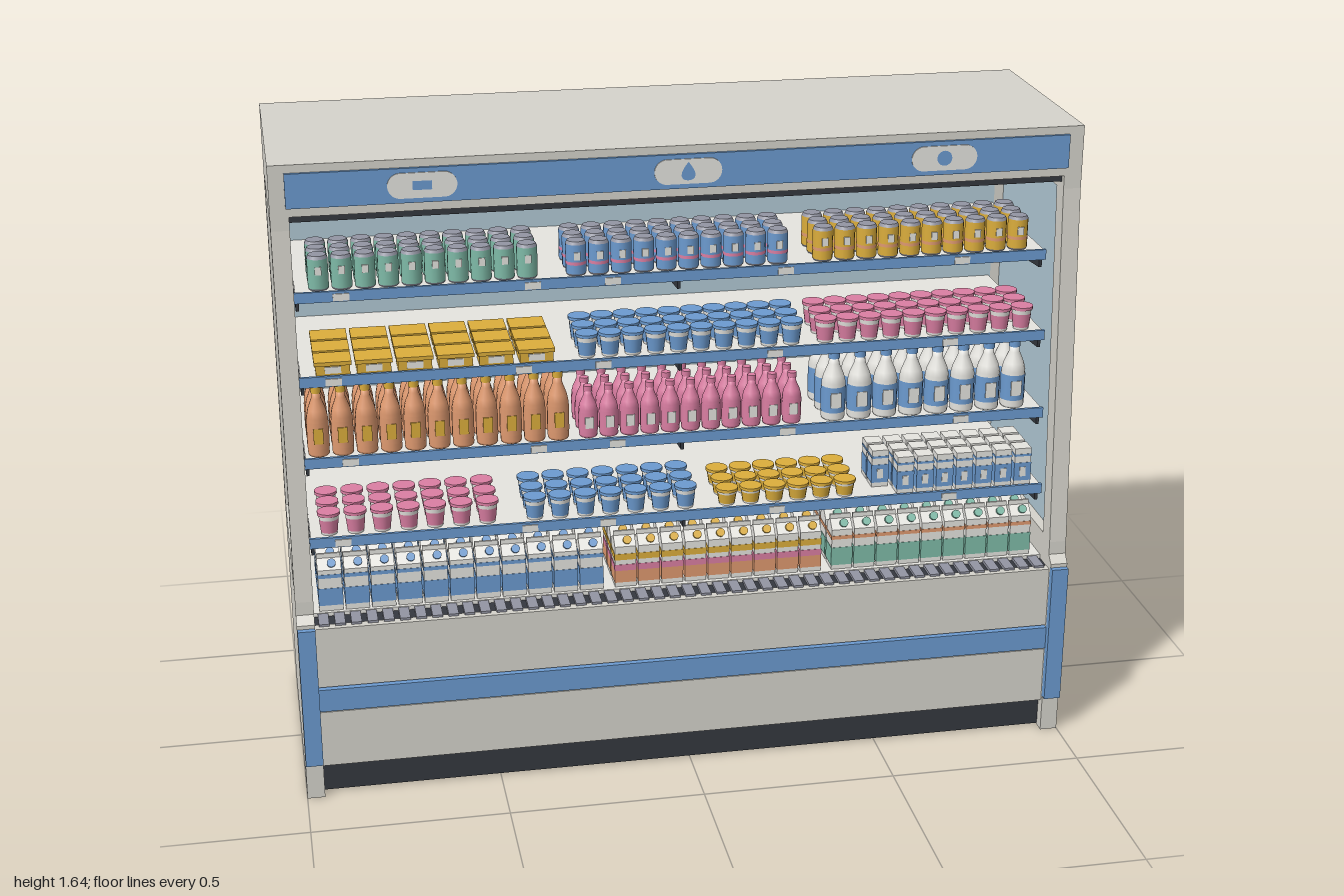
import * as THREE from 'three';
import { mergeGeometries } from 'three/addons/utils/BufferGeometryUtils.js';

const mat = (name, color, side = THREE.FrontSide) => {
  const m = new THREE.MeshStandardMaterial({ color, side });
  m.name = name;
  return m;
};

export function createModel() {
  const grey = mat('warm grey enamel', 0xd6d4cc);
  const blue = mat('blue trim', 0x6c9bd0);
  const dark = mat('dark plastic', 0x35383f);
  const pale = mat('pale blue panel', 0xb2cad6, THREE.DoubleSide);
  const white = mat('off white', 0xe6e5e0);
  const steel = mat('vent grey', 0x9395a3);
  const gold = mat('gold', 0xdcae3c);
  const orange = mat('orange', 0xdf9a70);
  const pink = mat('pink', 0xdb7fa3);
  const teal = mat('teal', 0x7fbba8);

  const model = new THREE.Group();
  model.name = 'refrigeratedDisplayCabinet';

  const add = (name, geo, material, parent = model) => {
    const m = new THREE.Mesh(geo, material);
    m.name = name;
    parent.add(m);
    return m;
  };
  // Box given by its limits on each axis
  const span = (x0, x1, y0, y1, z0, z1) =>
    new THREE.BoxGeometry(x1 - x0, y1 - y0, z1 - z0)
      .translate((x0 + x1) / 2, (y0 + y1) / 2, (z0 + z1) / 2);
  const v2 = (pts) => pts.map(([a, b]) => new THREE.Vector2(a, b));
  // Extrude a (z, y) outline along x, centred on x = 0
  const extrudeX = (pts, width, hole) => {
    const s = new THREE.Shape(v2(pts));
    if (hole) s.holes.push(new THREE.Path(v2(hole)));
    return new THREE.ExtrudeGeometry(s, { depth: width, bevelEnabled: false })
      .rotateY(-Math.PI / 2).translate(width / 2, 0, 0);
  };

  // Side frames with windows and blue bumpers
  const outline = [[-0.345, 0], [0.335, 0], [0.335, 0.49], [0.315, 0.51], [0.315, 0.545],
    [0.25, 1.485], [0.25, 1.645], [-0.345, 1.645]];
  const opening = [[0.262, 0.55], [0.2, 1.48], [-0.285, 1.48], [-0.285, 0.55]];
  for (const s of [-1, 1]) {
    const side = new THREE.Group();
    side.name = s > 0 ? 'leftSide' : 'rightSide';
    model.add(side);
    add('sideFrame', extrudeX(outline, 0.045, opening), grey, side).position.x = s * 0.9775;
    add('sideGlass', extrudeX(opening, 0.008), pale, side).position.x = s * 0.985;
    add('bumper', span(-0.022, 0.022, 0.1, 0.48, 0.33, 0.35), blue, side).position.x = s * 0.977;
  }

  // Cabinet body
  const W = 0.955;
  add('backWall', span(-W, W, 0, 1.645, -0.345, -0.29), grey);
  add('backLiner', span(-W, W, 0.47, 1.515, -0.29, -0.283), pale);
  add('canopy', span(-W, W, 1.518, 1.645, -0.3, 0.25), grey);
  add('airOutlet', span(-W, W, 1.5, 1.518, 0.08, 0.235), dark);
  add('baseBody', span(-W, W, 0.08, 0.47, -0.3, 0.31), dark);
  add('deck', span(-W, W, 0.47, 0.48, -0.29, 0.25), white);
  add('kickPlate', span(-W, W, 0.004, 0.08, -0.29, 0.305), dark);
  add('upperFrontPanel', span(-W, W, 0.309, 0.472, 0.3, 0.325), grey);
  add('lowerFrontPanel', span(-W, W, 0.085, 0.238, 0.3, 0.325), grey);
  add('frontStripe', span(-W, W, 0.243, 0.304, 0.3, 0.331), blue);

  // Air intake grille in front of the deck
  const bars = [];
  for (let i = 0; i < 47; i++) bars.push(span(-0.013, 0.013, 0.47, 0.478, 0.25, 0.312).translate((i - 23) * 0.0405, 0, 0));
  add('intakeGrille', mergeGeometries(bars), steel);

  // Header sign with three pictogram badges
  add('headerSign', span(-0.962, 0.962, 1.54, 1.625, 0.245, 0.258), blue);
  const pill = new THREE.Shape();
  pill.absarc(0.052, 0, 0.031, -Math.PI / 2, Math.PI / 2);
  pill.absarc(-0.052, 0, 0.031, Math.PI / 2, Math.PI * 1.5);
  const drop = new THREE.Shape();
  drop.moveTo(0, 0.024);
  drop.bezierCurveTo(0.03, -0.012, 0.014, -0.022, 0, -0.022);
  drop.bezierCurveTo(-0.014, -0.022, -0.03, -0.012, 0, 0.024);
  const icons = [new THREE.PlaneGeometry(0.046, 0.022), new THREE.ShapeGeometry(drop),
    new THREE.CircleGeometry(0.019, 20)];
  icons.forEach((icon, i) => {
    const x = (i - 1) * 0.64;
    add('badge', new THREE.ExtrudeGeometry(pill, { depth: 0.003, bevelEnabled: false }), white).position.set(x, 1.583, 0.258);
    add('badgeIcon', icon, blue).position.set(x, 1.583, 0.262);
  });

  // Rear ventilation plate
  add('ventPlate', span(-0.64, 0.64, 0.08, 0.215, -0.349, -0.34), steel);
  const slots = [];
  for (let i = 0; i < 12; i++) slots.push(span(-0.028, 0.028, 0.108, 0.188, -0.352, -0.345).translate((i - 5.5) * 0.098, 0, 0));
  add('ventSlots', mergeGeometries(slots), dark);

  // Shelves with rails, brackets and price tags
  const shelves = [[0.675, 0.235], [0.88, 0.21], [1.085, 0.185], [1.295, 0.16]];
  shelves.forEach(([y, z], k) => {
    const shelf = new THREE.Group();
    shelf.name = 'shelf' + (k + 1);
    model.add(shelf);
    add('shelfBoard', span(-0.95, 0.95, y - 0.016, y, -0.285, z - 0.008), white, shelf);
    add('shelfRail', span(-0.953, 0.953, y - 0.024, y + 0.003, z - 0.008, z), blue, shelf);
    const brackets = [-0.946, 0, 0.946].map((x) => extrudeX(
      [[-0.285, y - 0.09], [z - 0.02, y - 0.05], [z - 0.02, y - 0.016], [-0.285, y - 0.016]], 0.008).translate(x, 0, 0));
    add('brackets', mergeGeometries(brackets), dark, shelf);
    const tags = [-0.87, -0.4, -0.2, 0.24, 0.7].map((x) =>
      span(-0.02, 0.02, y - 0.021, y - 0.003, z, z + 0.003).translate(x + (k % 2) * 0.03, 0, 0));
    add('priceTags', mergeGeometries(tags), white, shelf);
  });

  // A block of n products between x0 and x1, repeated in rows towards the back
  const stock = (name, parts, n, x0, x1, y, z, rows, dz) => {
    const g = new THREE.Group();
    g.name = name;
    model.add(g);
    const p = (x1 - x0) / n;
    for (const [part, geo, material] of parts) {
      const copies = [];
      for (let r = 0; r < rows; r++)
        for (let i = 0; i < n; i++) copies.push(geo.clone().translate(x0 + (i + 0.5) * p, y, z - r * dz));
      add(part, mergeGeometries(copies), material, g);
    }
  };
  const cyl = (rt, rb, y0, y1, open = false) =>
    new THREE.CylinderGeometry(rt, rb, y1 - y0, 14, 1, open).translate(0, (y0 + y1) / 2, 0);
  const plate = (w, y0, y1, z) => span(-w / 2, w / 2, y0, y1, z - 0.003, z);

  // Product types
  const can = (body, band) => [
    ['canBody', cyl(0.026, 0.026, 0.005, 0.08), body],
    ['canRims', mergeGeometries([cyl(0.026, 0.023, 0, 0.005), cyl(0.022, 0.026, 0.08, 0.088)]), steel],
    ['canBand', cyl(0.0265, 0.0265, 0.028, 0.036, true), band],
    ['canLabel', plate(0.016, 0.042, 0.062, 0.0275), white]];
  const cup = (color, h) => [
    ['cupBody', cyl(0.026, 0.02, 0, h - 0.008), white],
    ['cupBand', cyl(0.0252, 0.0212, h * 0.1, h * 0.68, true), color],
    ['cupLid', cyl(0.029, 0.029, h - 0.008, h), color]];
  const bottle = (r, h, body, cap, band, label) => [
    ['bottleBody', new THREE.LatheGeometry(v2([[0, 0], [r * 0.92, 0], [r, 0.006], [r, h * 0.55],
      [r * 0.85, h * 0.66], [r * 0.45, h * 0.82], [r * 0.4, h * 0.92], [0, h * 0.92]]), 14), body],
    ['bottleCap', cyl(r * 0.48, r * 0.48, h * 0.9, h), cap],
    ['bottleBand', cyl(r + 0.001, r + 0.001, h * 0.12, h * 0.5, true), band],
    ['bottleLabel', plate(r * 0.9, h * 0.2, h * 0.42, r + 0.002), label]];
  const wrap = (w, y0, y1) => span(-w / 2 - 0.001, w / 2 + 0.001, y0, y1, -w / 2 - 0.001, w / 2 + 0.001);
  const carton = (w, cap, bands) => {
    const d = w / 2;
    return [
      ['cartonBody', extrudeX([[-d, 0], [d, 0], [d, 0.112], [0.003, 0.134], [0.003, 0.146],
        [-0.003, 0.146], [-0.003, 0.134], [-d, 0.112]], w), white],
      ['cartonCap', cyl(0.011, 0.011, 0, 0.01).rotateX(0.93).translate(0.006, 0.123, d * 0.5), cap],
      ...bands.map(([y0, y1, m]) => ['cartonBand', wrap(w, y0, y1), m])];
  };
  const tub = [
    ['tubBody', span(-0.042, 0.042, 0, 0.025, -0.033, 0.033), gold],
    ['tubLid', span(-0.046, 0.046, 0.025, 0.035, -0.037, 0.037), gold],
    ['tubLabel', plate(0.04, 0.005, 0.022, 0.036), white]];
  const smallCarton = [
    ['smallCartonBody', span(-0.022, 0.022, 0, 0.102, -0.022, 0.022), white],
    ['smallCartonBand', wrap(0.044, 0.012, 0.062), blue],
    ['smallCartonTopBand', wrap(0.044, 0.08, 0.086), blue],
    ['smallCartonLabel', plate(0.016, 0.024, 0.05, 0.0245), white]];

  // Top shelf: cans
  stock('tealCans', can(teal, teal), 10, -0.92, -0.35, 1.295, 0.12, 3, 0.06);
  stock('blueCans', can(blue, pink), 10, -0.285, 0.285, 1.295, 0.12, 3, 0.06);
  stock('goldCans', can(gold, orange), 10, 0.345, 0.915, 1.295, 0.12, 3, 0.06);
  // Third shelf: tubs and cups
  stock('goldTubs', tub, 6, -0.92, -0.315, 1.085, 0.135, 3, 0.085);
  stock('blueCups', cup(blue, 0.062), 10, -0.265, 0.32, 1.085, 0.145, 3, 0.066);
  stock('pinkCups', cup(pink, 0.062), 10, 0.35, 0.93, 1.085, 0.145, 3, 0.066);
  // Second shelf: bottles
  stock('orangeBottles', bottle(0.027, 0.182, orange, gold, orange, gold), 11, -0.945, -0.285, 0.88, 0.17, 3, 0.065);
  stock('pinkBottles', bottle(0.024, 0.135, pink, pink, pink, white), 11, -0.265, 0.315, 0.88, 0.17, 3, 0.06);
  stock('milkBottles', bottle(0.031, 0.182, white, blue, blue, white), 8, 0.365, 0.915, 0.88, 0.165, 3, 0.07);
  // First shelf: cups and small cartons
  stock('pinkPots', cup(pink, 0.06), 7, -0.935, -0.47, 0.675, 0.195, 3, 0.066);
  stock('bluePots', cup(blue, 0.06), 7, -0.415, 0.04, 0.675, 0.195, 3, 0.066);
  stock('goldPots', cup(gold, 0.045), 6, 0.085, 0.46, 0.675, 0.195, 3, 0.066);
  stock('smallCartons', smallCarton, 7, 0.558, 0.928, 0.675, 0.2, 3, 0.055);
  stock('smallCartonsBehind', smallCarton, 1, 0.505, 0.557, 0.675, 0.145, 2, 0.055);
  // Deck: large cartons
  stock('blueCartons', carton(0.06, blue, [[0.015, 0.062, blue], [0.09, 0.1, blue]]), 11, -0.942, -0.212, 0.48, 0.21, 3, 0.068);
  stock('orangeCartons', carton(0.055, gold, [[0.012, 0.045, orange], [0.045, 0.062, pink], [0.075, 0.092, gold]]),
    9, -0.187, 0.362, 0.48, 0.21, 3, 0.068);
  stock('tealCartons', carton(0.055, teal, [[0.012, 0.062, teal], [0.085, 0.095, orange]]), 9, 0.385, 0.93, 0.48, 0.21, 3, 0.068);

  return model;
}
